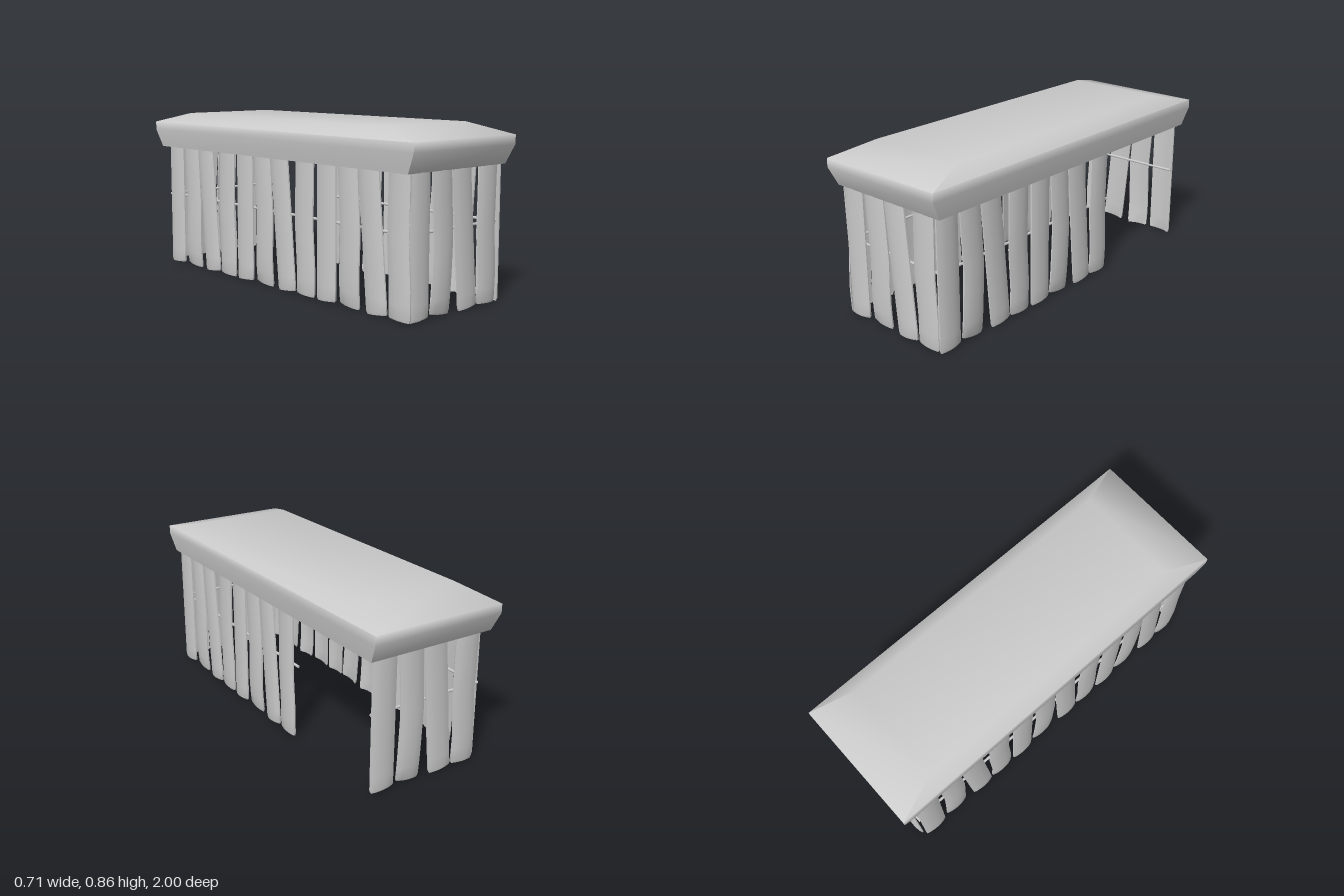
import * as THREE from 'three';
import { toCreasedNormals } from 'three/addons/utils/BufferGeometryUtils.js';

const material = new THREE.MeshStandardMaterial({ color: 0xcccccc });
const shellMaterial = new THREE.MeshStandardMaterial({ color: 0xcccccc, side: THREE.DoubleSide });

// Hollow roof: rectangular rings [half width, half depth, height], closed at the top
function makeRoof() {
  const rings = [[0.34, 0.955, 0.67], [0.355, 1, 0.765], [0.355, 1, 0.81], [0.272, 0.765, 0.865]];
  const positions = [];
  const index = [];
  for (const [x, z, y] of rings) positions.push(-x, y, z, x, y, z, x, y, -z, -x, y, -z);
  for (let r = 0; r < rings.length - 1; r++) {
    for (let i = 0; i < 4; i++) {
      const a = r * 4 + i, b = r * 4 + (i + 1) % 4;
      index.push(a, b, b + 4, a, b + 4, a + 4);
    }
  }
  const t = (rings.length - 1) * 4;
  index.push(t, t + 1, t + 2, t, t + 2, t + 3);
  const geometry = new THREE.BufferGeometry();
  geometry.setAttribute('position', new THREE.Float32BufferAttribute(positions, 3));
  geometry.setIndex(index);
  const roof = new THREE.Mesh(toCreasedNormals(geometry, 1.39), shellMaterial);
  roof.name = 'roof';
  return roof;
}

// Four plank shapes: centre line at bottom, lower bend, upper bend and top,
// inward curl of the foot, and slant of the cut ends
const PLANKS = [
  { centre: [0, 0, 0, 0], curl: 0, slant: 0.004 },
  { centre: [0.153, 0.155, 0.163, 0.143], curl: 0.012, slant: -0.006 },
  { centre: [0.339, 0.326, 0.308, 0.277], curl: 0, slant: 0.006 },
  { centre: [0.477, 0.48, 0.467, 0.474], curl: 0.003, slant: -0.003 },
];
const BENDS = [0.008, 0.15, 0.36, 0.71];

function centreAt(centre, y) {
  let i = 0;
  while (i < 2 && y > BENDS[i + 1]) i++;
  return THREE.MathUtils.mapLinear(y, BENDS[i], BENDS[i + 1], centre[i], centre[i + 1]);
}

// Thin slab with a bowed face, thinned sides and rounded ends
function makePlankGeometry({ centre, curl, slant }) {
  const width = 0.13;
  const levels = [0.008, 0.02, 0.08, 0.15, 0.25, 0.36, 0.5, 0.62, 0.71];
  const geometry = new THREE.BoxGeometry(width, 1, 0.012, 6, levels.length - 1, 1);
  const p = geometry.attributes.position;
  for (let i = 0; i < p.count; i++) {
    const side = p.getX(i) / (width / 2);
    const level = Math.round((p.getY(i) + 0.5) * (levels.length - 1));
    const y = levels[level];
    const end = level === 0 ? 0.9 : 1;
    const foot = Math.max(0, 1 - y / 0.2);
    const bow = 0.009 * (1 - side * side) - 0.004;
    const thin = Math.abs(side) > 0.9 || level === 0 ? 0.6 : 1;
    p.setXYZ(i,
      centreAt(centre, y) + side * width / 2 * end,
      y + (level === 0 || level === levels.length - 1 ? slant * side : 0),
      p.getZ(i) * thin + bow - curl * foot * foot);
  }
  return toCreasedNormals(geometry, 1.1);
}

// A wall repeats the four planks from each start, facing outward at a given distance
function makeWall(name, geometries, starts, distance, angle) {
  const wall = new THREE.Group();
  wall.name = name;
  for (const start of starts) {
    geometries.forEach((geometry) => {
      const plank = new THREE.Mesh(geometry, material);
      plank.name = 'plank';
      plank.position.set(start, 0, distance);
      wall.add(plank);
    });
  }
  wall.rotation.y = angle;
  return wall;
}

// Thin horizontal rail between two points on the ground plan
function makeRail(name, x1, z1, x2, z2) {
  const rail = new THREE.Mesh(
    new THREE.CylinderGeometry(0.007, 0.007, Math.hypot(x2 - x1, z2 - z1), 8), material);
  rail.name = name;
  rail.position.set((x1 + x2) / 2, 0.397, (z1 + z2) / 2);
  if (x1 === x2) rail.rotation.x = Math.PI / 2;
  else rail.rotation.z = Math.PI / 2;
  return rail;
}

export function createModel() {
  const model = new THREE.Group();
  model.name = 'plankShelter';
  model.add(makeRoof());

  // Plank walls; the left wall leaves a doorway near the back
  const planks = PLANKS.map(makePlankGeometry);
  model.add(
    makeWall('frontWall', planks, [-0.247], 0.945, 0),
    makeWall('backWall', planks, [-0.247], 0.933, Math.PI),
    makeWall('leftWall', planks, [-0.885, -0.255], 0.315, Math.PI / 2),
    makeWall('rightWall', planks, [-0.85, -0.22, 0.41], 0.315, -Math.PI / 2),
  );

  // Rails behind the planks
  model.add(
    makeRail('frontRail', -0.315, 0.928, 0.315, 0.928),
    makeRail('backRail', -0.315, -0.917, 0.31, -0.917),
    makeRail('leftRail', 0.3, 0.93, 0.3, -0.31),
    makeRail('rightRail', -0.3, 0.93, -0.3, -0.92),
  );
  return model;
}
